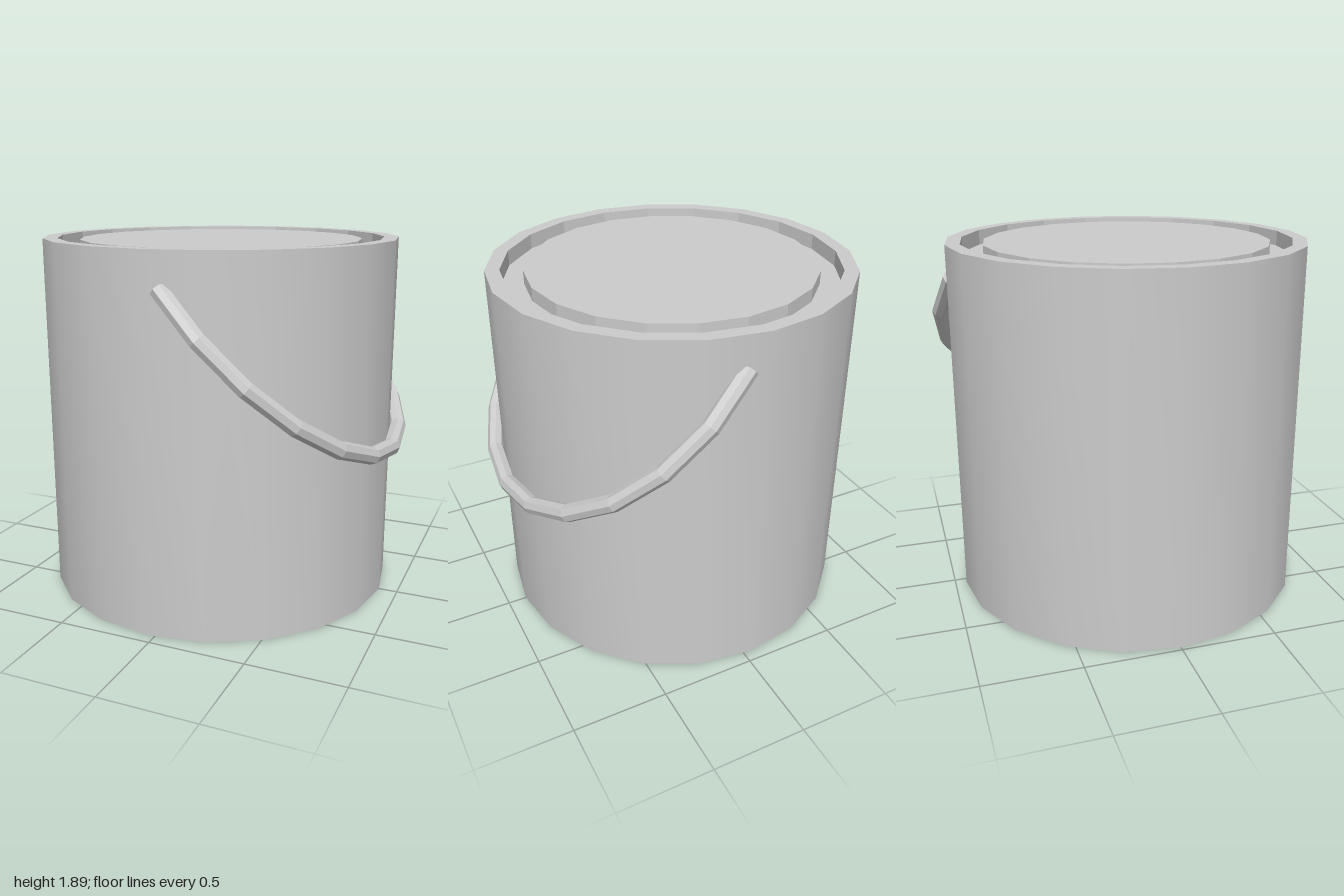
import * as THREE from 'three';
import { mergeGeometries, toCreasedNormals } from 'three/addons/utils/BufferGeometryUtils.js';

const SIDES = 20;

function lathe(points, smooth) {
  const geo = new THREE.LatheGeometry(points.map(([r, y]) => new THREE.Vector2(r, y)), SIDES);
  return toCreasedNormals(geo, smooth ? 0.5 : 0.1);
}

// Bent wire: an arc of a torus with both ends closed
function wireArc(radius, tube, start, arc, sides, segments) {
  const capA = new THREE.CircleGeometry(tube, sides).rotateX(Math.PI / 2).translate(radius, 0, 0);
  const capB = new THREE.CircleGeometry(tube, sides).rotateX(-Math.PI / 2).translate(radius, 0, 0).rotateZ(arc);
  const ring = new THREE.TorusGeometry(radius, tube, sides, segments, arc);
  return mergeGeometries([ring, capA, capB]).rotateZ(start);
}

export function createModel() {
  const model = new THREE.Group();
  model.name = 'paintCan';
  const smoothMat = new THREE.MeshStandardMaterial({ color: 0xcccccc });
  const flatMat = new THREE.MeshStandardMaterial({ color: 0xcccccc, flatShading: true });

  const add = (name, geo, mat) => {
    const mesh = new THREE.Mesh(geo, mat);
    mesh.name = name;
    model.add(mesh);
    return mesh;
  };

  // Body: base, outer wall and flat rim
  const body = add('body', lathe([[0, 0], [0.94, 0], [0.94, 1.89], [0.865, 1.89]], true), smoothMat);

  // Lid: rim's inner wall, groove and raised disc
  const lid = add('lid', lathe([[0.865, 1.89], [0.865, 1.81], [0.75, 1.81], [0.75, 1.88], [0, 1.88]], false), flatMat);
  body.position.x = lid.position.x = -0.04;

  // Handle: hangs at 45 degrees toward the left, its ends entering the wall
  const step = Math.PI / 10;
  const handle = add('handle', wireArc(0.955, 0.045, -step, 12 * step, 8, 12), flatMat);
  const s = Math.SQRT1_2;
  handle.geometry.applyMatrix4(new THREE.Matrix4().makeBasis(
    new THREE.Vector3(0, 0, 1), new THREE.Vector3(s, -s, 0), new THREE.Vector3(s, s, 0)));
  handle.position.set(0.255, 1.5, 0);

  return model;
}
